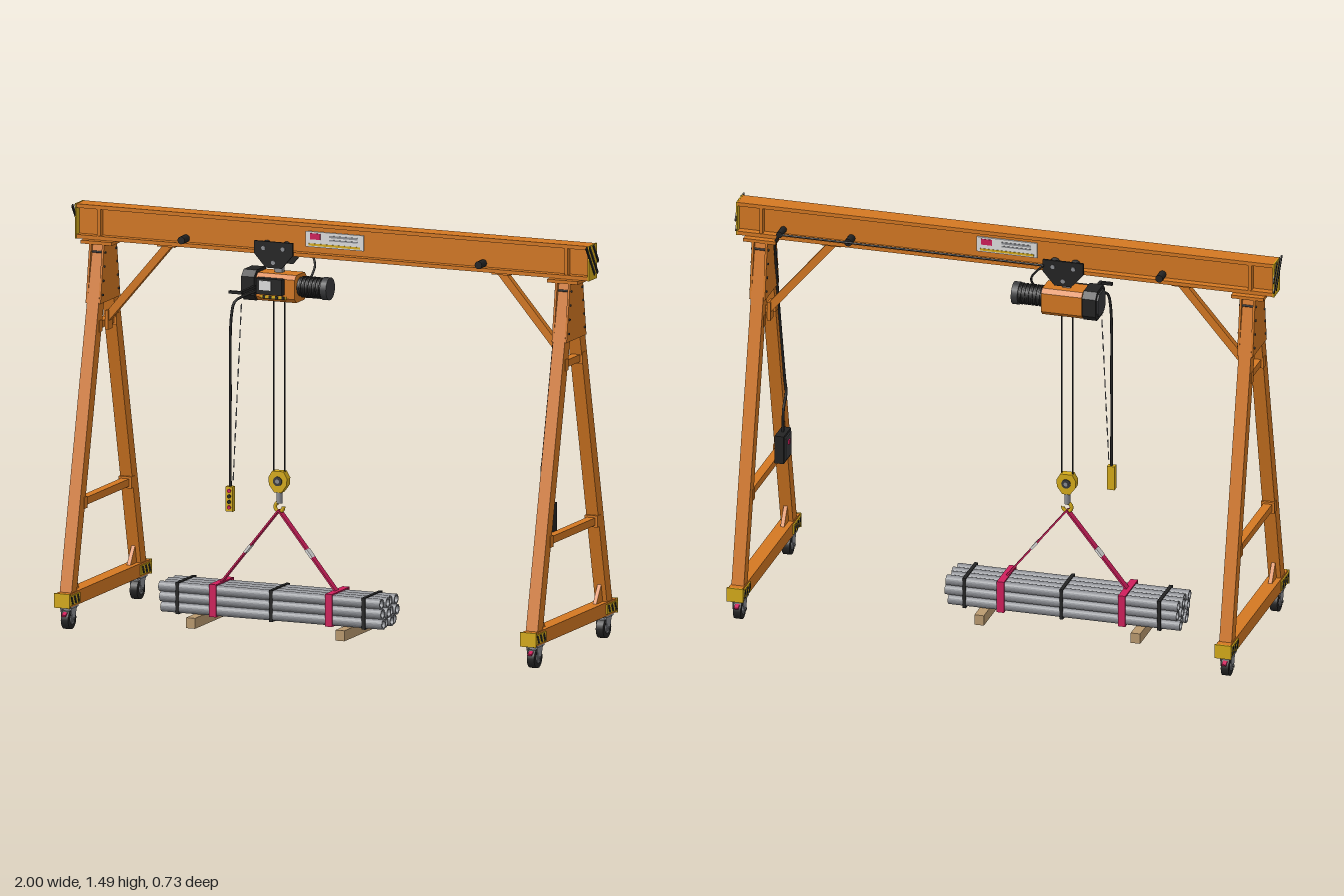
import * as THREE from 'three';

const mat = (name, color) => {
  const m = new THREE.MeshStandardMaterial({ color });
  m.name = name;
  return m;
};
const V = (x, y, z) => new THREE.Vector3(x, y, z);

export function createModel() {
  const orange = mat('orange paint', 0xd47822), yellow = mat('safety yellow', 0xd6ac1a);
  const black = mat('black', 0x242424), rubber = mat('dark grey', 0x3a3b3d);
  const steel = mat('steel grey', 0x8b8d92), pink = mat('sling pink', 0xd01f5c);
  const wood = mat('wood', 0xba9a70), white = mat('label white', 0xdedede);
  const model = new THREE.Group();
  model.name = 'gantryCrane';
  let parent = model;

  const group = (name) => {
    parent = new THREE.Group();
    parent.name = name;
    model.add(parent);
  };
  const add = (name, geo, m, x = 0, y = 0, z = 0) => {
    const mesh = new THREE.Mesh(geo, m);
    mesh.name = name;
    mesh.position.set(x, y, z);
    parent.add(mesh);
    return mesh;
  };
  const box = (name, m, w, h, d, x, y, z) => add(name, new THREE.BoxGeometry(w, h, d), m, x, y, z);
  // Square bar from a to b
  const bar = (name, m, a, b, w, d) => {
    const dir = b.clone().sub(a), c = a.clone().add(b).multiplyScalar(0.5);
    const mesh = box(name, m, w, dir.length(), d, c.x, c.y, c.z);
    mesh.quaternion.setFromUnitVectors(V(0, 1, 0), dir.normalize());
    return mesh;
  };
  // Cylinder lying along 'x', 'y' or 'z'
  const rod = (name, m, r, len, axis, x, y, z, sides = 20) => {
    const g = new THREE.CylinderGeometry(r, r, len, sides);
    if (axis === 'x') g.rotateZ(Math.PI / 2);
    if (axis === 'z') g.rotateX(Math.PI / 2);
    return add(name, g, m, x, y, z);
  };
  const cable = (name, m, r, pts) => add(name, new THREE.TubeGeometry(
    new THREE.CatmullRomCurve3(pts, false, 'centripetal'), pts.length * 8, r, 8), m);
  // Flat plate from an outline; facing z, or facing x with outline given as (z, y)
  const plate = (name, m, pts, t, x, y, z, facingX = true) => {
    const shape = new THREE.Shape(pts.map((p) => new THREE.Vector2(p[0], p[1])));
    const g = new THREE.ExtrudeGeometry(shape, { depth: t, bevelEnabled: false });
    g.translate(0, 0, -t / 2);
    if (facingX) g.rotateY(-Math.PI / 2);
    return add(name, g, m, x, y, z);
  };
  const chamfered = (w, h, c) => [[-w, -h + c], [-w + c, -h], [w - c, -h], [w, -h + c],
    [w, h - c], [w - c, h], [-w + c, h], [-w, h - c]];

  // Overhead I-beam
  group('beam');
  box('topFlange', orange, 1.992, 0.014, 0.07, 0, 1.478, 0);
  box('bottomFlange', orange, 1.992, 0.014, 0.07, 0, 1.367, 0);
  box('web', orange, 1.992, 0.1, 0.016, 0, 1.4225, 0);
  for (const s of [-1, 1]) {
    box('stiffener', orange, 0.012, 0.1, 0.066, s * 0.907, 1.4225, 0);
    box('endPlate', yellow, 0.005, 0.127, 0.074, s * 0.9955, 1.4225, 0);
    for (const [z, y, l] of [[0.023, 1.43, 0.13], [-0.004, 1.43, 0.13], [-0.024, 1.45, 0.08]])
      box('endStripe', black, 0.004, l, 0.011, s * 0.998, y, z).rotation.x = 0.6;
    for (const f of [-1, 1]) {
      rod('endStop', black, 0.014, 0.045, 'z', s * 0.577, 1.388, f * 0.034, 12);
    }
  }
  // Rating plates on both faces of the web
  for (const f of [1, -1]) {
    group('ratingPlate');
    box('plate', white, 0.225, 0.056, 0.006, 0, 1.423, 0.011);
    box('pinkMark', pink, 0.04, 0.022, 0.002, -0.075, 1.434, 0.0148);
    box('greyLine', steel, 0.11, 0.008, 0.002, 0.035, 1.437, 0.0148);
    box('greyLine', steel, 0.11, 0.005, 0.002, 0.035, 1.424, 0.0148);
    box('yellowLine', yellow, 0.2, 0.008, 0.002, 0, 1.404, 0.0148);
    if (f < 0) parent.rotation.y = Math.PI;
  }

  // A-shaped end frames
  const legZ = (y) => 0.306 - 0.239 * (y - 0.14);
  for (const s of [-1, 1]) {
    const X = s * 0.905;
    group(s > 0 ? 'leftFrame' : 'rightFrame');
    box('headPlate', orange, 0.12, 0.012, 0.12, X, 1.354, 0);
    box('sill', orange, 0.052, 0.05, 0.72, X, 0.111, 0);
    for (const o of [-1, 1]) {
      plate('headGusset', orange, [[-0.088, 1.14], [0.088, 1.14], [0.056, 1.35], [-0.056, 1.35]],
        0.008, X + o * 0.025, 0, 0);
    }
    for (const [y, h, e] of [[1.058, 0.026, 0.012], [0.442, 0.027, 0.026]]) {
      box('crossBar', orange, 0.032, h, 2 * legZ(y) - 0.03, X, y, 0);
      for (const f of [-1, 1])
        box('crossBarPlate', orange, 0.05, 0.042, 0.026, X, y, f * (legZ(y) - e));
    }
    bar('kneeBrace', orange, V(s * 0.888, 1.075, 0), V(s * 0.645, 1.36, 0), 0.028, 0.026);
    box('kneePlate', orange, 0.07, 0.008, 0.05, s * 0.65, 1.357, 0);
    box('kneeFoot', orange, 0.012, 0.07, 0.04, s * 0.882, 1.07, 0);

    for (const f of [-1, 1]) {
      bar('leg', orange, V(X, 0.13, f * legZ(0.13)), V(X, 1.35, f * legZ(1.35)), 0.046, 0.046);
      plate('footGusset', orange, [[0.225, 0.135], [0.29, 0.135], [0.272, 0.205]].map(
        ([z, y]) => [f * z, y]), 0.014, X, 0, 0);
      for (const y of [1.17, 1.22, 1.27, 1.32])
        rod('gussetBolt', rubber, 0.004, 0.066, 'x', X, y, f * (0.075 - 0.15 * (y - 1.14)), 6);
      // Striped sill ends
      box('endCap', yellow, 0.062, 0.052, 0.007, X, 0.111, f * 0.3615);
      for (const o of [-1, 1]) {
        box('hazardPlate', yellow, 0.005, 0.036, 0.094, X + o * 0.0285, 0.111, f * 0.315);
        for (let i = -1; i <= 1; i++) {
          const c = f * 0.315 + i * 0.028;
          plate('hazardStripe', black, [[c - 0.012, 0.097], [c, 0.097], [c + 0.012, 0.125], [c, 0.125]],
            0.003, X + o * 0.031, 0, 0);
        }
      }
      // Swivel caster
      const z = f * 0.305;
      box('casterPlate', steel, 0.05, 0.008, 0.066, X, 0.083, z);
      rod('swivel', steel, 0.022, 0.012, 'y', X, 0.075, z);
      box('forkCrown', steel, 0.044, 0.007, 0.05, X, 0.077, z);
      for (const o of [-1, 1])
        plate('fork', steel, [[z - 0.026, 0.08], [z - 0.01, 0.028], [z + 0.01, 0.028], [z + 0.026, 0.08]],
          0.004, X + o * 0.019, 0, 0);
      rod('wheel', black, 0.037, 0.028, 'x', X, 0.037, z, 24);
      rod('hub', steel, 0.018, 0.034, 'x', X, 0.037, z, 16);
      rod('axle', rubber, 0.006, 0.05, 'x', X, 0.037, z, 8);
      box('brakePedal', pink, 0.016, 0.007, 0.02, X, 0.058, z + f * 0.036).rotation.x = f * 0.4;
    }
  }

  // Trolley
  group('trolley');
  for (const f of [-1, 1]) {
    plate('sidePlate', black, [[-0.295, 1.365], [-0.25, 1.315], [-0.188, 1.315], [-0.145, 1.365],
      [-0.145, 1.41], [-0.295, 1.41]], 0.008, 0, 0, f * 0.05, false);
    for (const x of [-0.258, -0.182]) {
      rod('trolleyWheel', rubber, 0.018, 0.024, 'z', x, 1.391, f * 0.033);
      rod('wheelPin', steel, 0.008, 0.008, 'z', x, 1.386, f * 0.053, 10);
    }
    rod('platePin', steel, 0.008, 0.008, 'z', -0.22, 1.335, f * 0.053, 10);
  }
  rod('crossPin', steel, 0.008, 0.1, 'z', -0.22, 1.335, 0, 12);
  box('hanger', steel, 0.03, 0.055, 0.02, -0.22, 1.31, 0);

  // Hoist
  group('hoist');
  plate('body', orange, chamfered(0.052, 0.05, 0.015), 0.15, -0.213, 1.242, 0);
  plate('gearCover', black, chamfered(0.06, 0.055, 0.022), 0.05, -0.317, 1.245, 0);
  plate('gearCoverCap', rubber, chamfered(0.045, 0.042, 0.016), 0.008, -0.344, 1.245, 0);
  rod('motor', black, 0.034, 0.11, 'x', -0.085, 1.246, 0);
  for (let i = 0; i < 6; i++) rod('motorFin', black, 0.039, 0.006, 'x', -0.125 + i * 0.014, 1.246, 0);
  rod('fanCover', rubber, 0.041, 0.024, 'x', -0.034, 1.246, 0);
  box('controlPanel', black, 0.1, 0.058, 0.026, -0.228, 1.25, 0.062);
  box('panelLabel', white, 0.045, 0.034, 0.002, -0.243, 1.254, 0.076);
  box('warningStrip', yellow, 0.1, 0.011, 0.004, -0.22, 1.209, 0.052);
  for (let i = 0; i < 4; i++)
    box('warningMark', black, 0.01, 0.011, 0.002, -0.257 + i * 0.025, 1.209, 0.0545);
  cable('motorCable', black, 0.004, [V(-0.15, 1.39, -0.06), V(-0.12, 1.36, -0.055),
    V(-0.095, 1.32, -0.03), V(-0.1, 1.275, 0)]);

  // Pendant control on its arm
  group('pendant');
  box('arm', black, 0.012, 0.01, 0.125, -0.29, 1.243, 0.12);
  box('armEnd', black, 0.05, 0.01, 0.012, -0.31, 1.243, 0.18);
  cable('pendantCable', black, 0.005, [V(-0.29, 1.225, 0.05), V(-0.295, 1.225, 0.13),
    V(-0.318, 1.208, 0.17), V(-0.326, 1.16, 0.182), V(-0.33, 0.85, 0.183), V(-0.33, 0.54, 0.183)]);
  const top = V(-0.295, 1.2, 0.165), end = V(-0.32, 0.545, 0.183);
  for (let i = 0; i < 14; i++)
    bar('strainChain', steel, top.clone().lerp(end, i / 14), top.clone().lerp(end, (i + 0.65) / 14), 0.003, 0.003);
  box('handset', yellow, 0.028, 0.09, 0.022, -0.33, 0.495, 0.183);
  [pink, black, black, pink].forEach((m, i) =>
    rod('button', m, 0.007, 0.006, 'z', -0.33, 0.525 - i * 0.02, 0.196, 10));

  // Ropes and hook block
  group('hookBlock');
  for (const x of [-0.241, -0.199]) rod('rope', black, 0.0028, 0.66, 'y', x, 0.87, 0, 8);
  plate('blockShell', yellow, [[-0.022, 0.572], [-0.036, 0.548], [-0.034, 0.522], [-0.014, 0.495],
    [0.014, 0.495], [0.034, 0.522], [0.036, 0.548], [0.022, 0.572]], 0.03, -0.22, 0, 0, false);
  rod('sheaveCap', rubber, 0.017, 0.037, 'z', -0.22, 0.536, 0);
  rod('sheavePin', steel, 0.008, 0.041, 'z', -0.22, 0.536, 0, 10);
  rod('swivelNeck', steel, 0.011, 0.045, 'y', -0.22, 0.477, 0, 12);
  const hook = add('hook', new THREE.TorusGeometry(0.016, 0.007, 8, 20, 4.9), yellow, -0.22, 0.441, 0);
  hook.rotation.z = 1.57 + 0.0;

  // Slings
  group('slings');
  for (const x of [-0.445, 0.005]) {
    const a = V(-0.22, 0.43, 0), b = V(x, 0.15, 0);
    bar('slingLeg', pink, a, b, 0.006, 0.028);
    bar('slingLabel', white, a.clone().lerp(b, 0.48), a.clone().lerp(b, 0.58), 0.009, 0.0285);
    for (const f of [-1, 1]) {
      box('slingBand', pink, 0.027, 0.118, 0.005, x, 0.097, f * 0.077);
      box('slingBand', pink, 0.027, 0.005, 0.155, x, 0.097 + f * 0.0565, 0);
    }
  }

  // Bundle of hollow pipes with straps on timber bearers
  group('pipeBundle');
  const ring = new THREE.Shape().absarc(0, 0, 0.0187, 0, Math.PI * 2);
  ring.holes.push(new THREE.Path().absarc(0, 0, 0.0135, 0, Math.PI * 2, true));
  const pipe = new THREE.ExtrudeGeometry(ring, { depth: 0.86, bevelEnabled: false, curveSegments: 12 });
  pipe.translate(0, 0, -0.43).rotateY(Math.PI / 2);
  for (let r = 0; r < 3; r++)
    for (let c = 0; c < 4; c++)
      add('pipe', pipe, steel, -0.222 + ((r * 3 + c * 2) % 4 - 1.5) * 0.004, 0.058 + r * 0.0365, (c - 1.5) * 0.0372);
  for (const x of [-0.583, -0.22, 0.14])
    for (const f of [-1, 1]) {
      box('strap', black, 0.013, 0.114, 0.003, x, 0.095, f * 0.0758);
      box('strap', black, 0.013, 0.003, 0.153, x, 0.095 + f * 0.056, 0);
    }
  for (const x of [-0.51, 0.07]) box('timber', wood, 0.035, 0.038, 0.25, x, 0.019, 0);

  // Power box and supply cable
  group('powerSupply');
  box('powerBox', black, 0.034, 0.105, 0.092, 0.868, 0.503, 0.109);
  box('powerBoxDoor', rubber, 0.006, 0.085, 0.074, 0.849, 0.503, 0.109);
  box('powerSwitch', pink, 0.008, 0.016, 0.016, 0.845, 0.52, 0.109);
  cable('legCable', black, 0.005, [V(0.83, 1.39, -0.06), V(0.85, 1.35, -0.045), V(0.868, 1.27, 0.02),
    V(0.877, 1.1, 0.078), V(0.877, 0.73, 0.166), V(0.872, 0.685, 0.165), V(0.868, 0.64, 0.118),
    V(0.868, 0.55, 0.109)]);
  rod('beamCable', black, 0.004, 0.98, 'x', 0.34, 1.39, -0.06, 8);
  rod('cableAnchor', black, 0.012, 0.055, 'z', 0.83, 1.39, -0.036, 12);

  return model;
}
